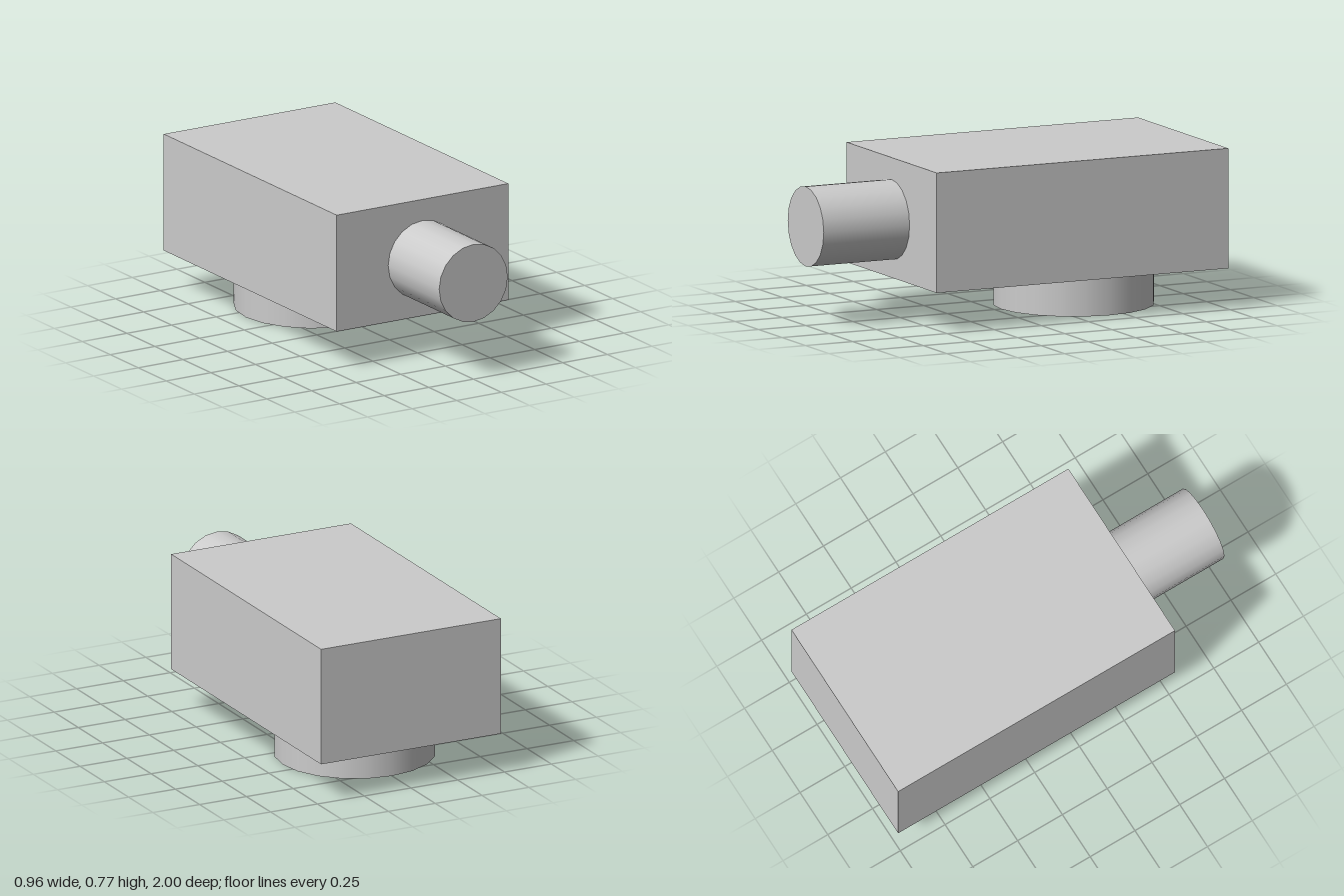
import * as THREE from 'three';

export function createModel() {
  const model = new THREE.Group();
  const material = new THREE.MeshStandardMaterial({ color: 0xcccccc });

  const add = (name, geometry, x, y, z) => {
    const mesh = new THREE.Mesh(geometry, material);
    mesh.name = name;
    mesh.position.set(x, y, z);
    model.add(mesh);
    return mesh;
  };

  // Rectangular housing
  add('body', new THREE.BoxGeometry(0.961, 0.578, 1.545), 0, 0.485, -0.2275);

  // Round barrel projecting from the front face
  const barrel = add('barrel', new THREE.CylinderGeometry(0.192, 0.192, 0.455, 20), 0, 0.477, 0.7725);
  barrel.rotation.x = Math.PI / 2;

  // Round mount under the rear half
  add('base', new THREE.CylinderGeometry(0.385, 0.385, 0.196, 20), 0, 0.098, -0.419);

  return model;
}
